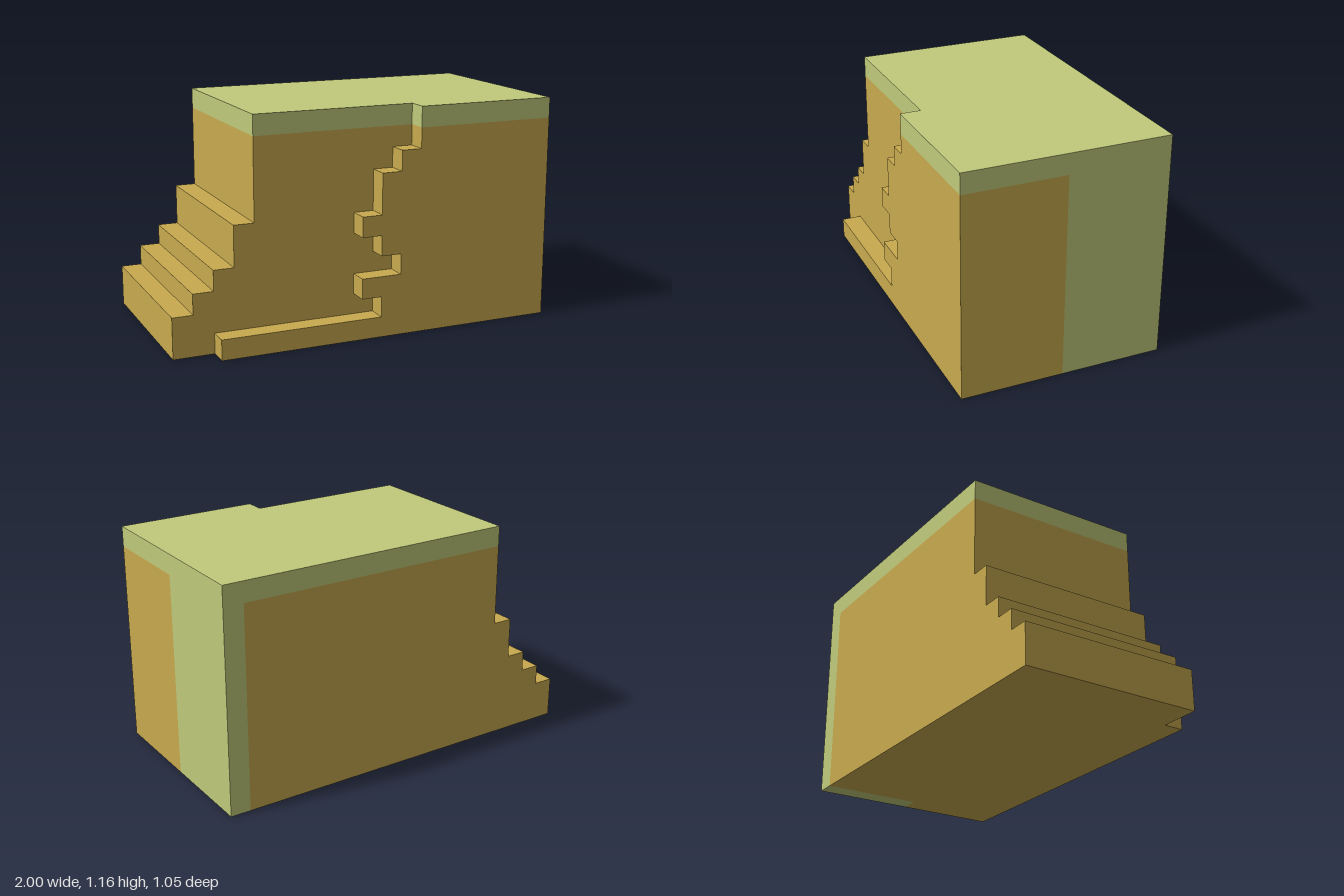
import * as THREE from 'three';

const U = 2 / 19; // one block; the model is 19 x 11 x 10 blocks

export function createModel() {
  const group = new THREE.Group();
  group.name = 'steppedCliff';

  const sand = new THREE.MeshStandardMaterial({ color: 0xc8aa4e });
  sand.name = 'sandstone';
  const grass = new THREE.MeshStandardMaterial({ color: 0xc0ca7a });
  grass.name = 'grass';

  // Extrudes an outline given in blocks
  const slab = (points, depth) => new THREE.ExtrudeGeometry(
    new THREE.Shape(points.map(([x, y]) => new THREE.Vector2(x * U, y * U))),
    { depth: depth * U, bevelEnabled: false });

  const add = (name, geometry, material, x, y, z) => {
    const mesh = new THREE.Mesh(geometry, material);
    mesh.name = name;
    mesh.position.set(x * U, y * U, z * U);
    group.add(mesh);
  };

  // Main body with steps climbing from the right
  add('steppedBody', slab([
    [0, 0], [18, 0], [18, 10], [4, 10], [4, 6], [3, 6],
    [3, 4], [2, 4], [2, 3], [1, 3], [1, 2], [0, 2],
  ], 9), sand, -9.5, 0, -5);

  // Front layer with its jagged edge and low ledge
  add('frontLedges', slab([
    [2, 0], [19, 0], [19, 10], [12, 10], [12, 9], [11, 9], [11, 8], [10, 8],
    [10, 6], [9, 6], [9, 5], [10, 5], [10, 4], [11, 4], [11, 3], [9, 3],
    [9, 2], [10, 2], [10, 1], [2, 1],
  ], 1), sand, -9.5, 0, 4);

  // Left end wall: sandstone in front, grass behind
  add('sandEndWall', new THREE.BoxGeometry(U, 10 * U, 4 * U), sand, 9, 5, 2);
  add('grassEndWall', new THREE.BoxGeometry(U, 10 * U, 5 * U), grass, 9, 5, -2.5);

  // Grass cap, notched at the front
  const cap = slab([
    [4, -4], [12, -4], [12, -5], [19, -5], [19, 5], [4, 5],
  ], 1).rotateX(-Math.PI / 2);
  add('grassCap', cap, grass, -9.5, 10, 0);

  return group;
}
